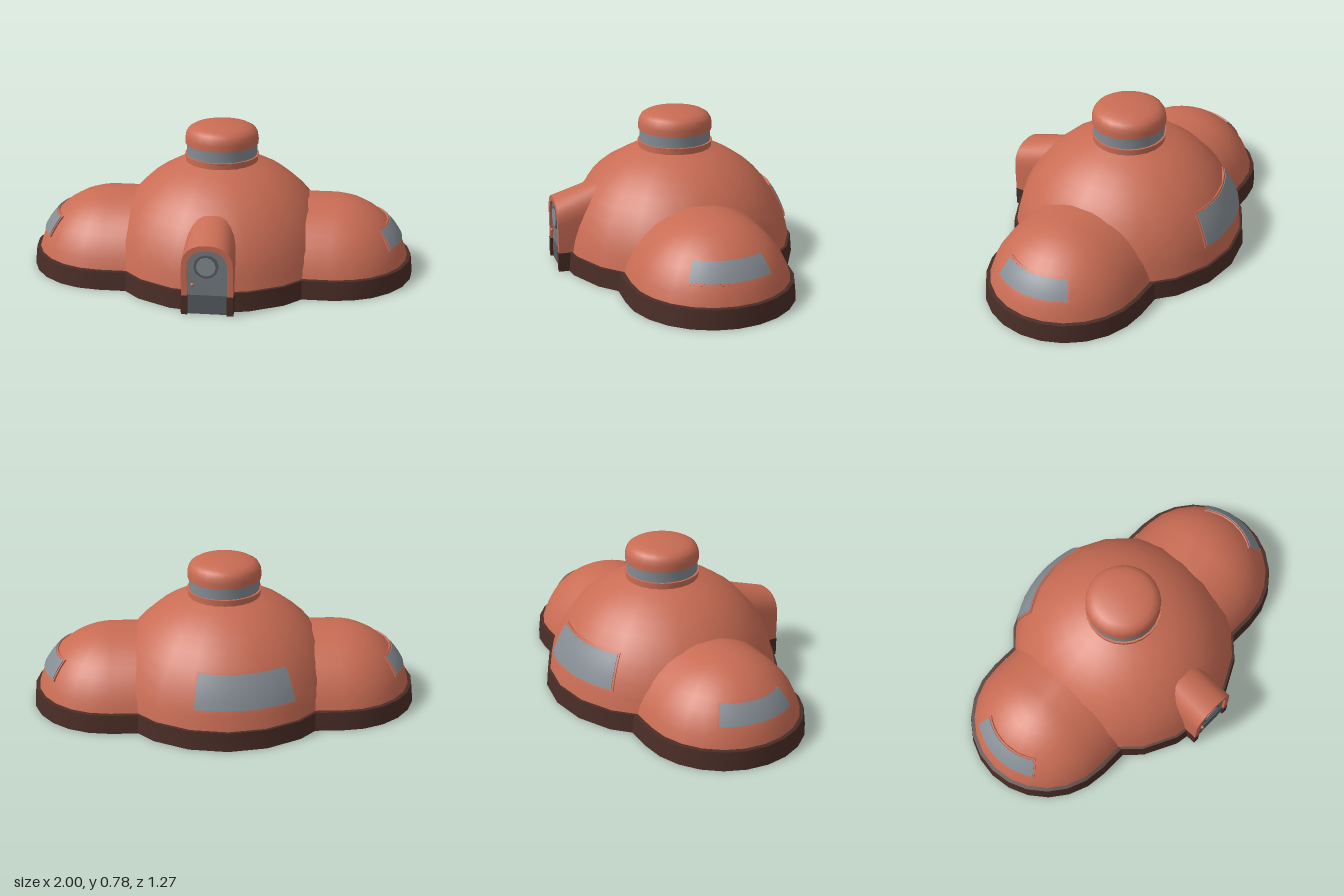
import * as THREE from 'three';
import { toCreasedNormals } from 'three/addons/utils/BufferGeometryUtils.js';

const CENTRE_Z = -0.02;

function mat(name, color, side = THREE.FrontSide) {
  const m = new THREE.MeshStandardMaterial({ color, side });
  m.name = name;
  return m;
}

// Points on a circular profile of radius R centred at height c, between two heights
function arcProfile(R, c, y0, y1, n) {
  const a0 = Math.asin((y0 - c) / R), a1 = Math.asin(Math.min(1, (y1 - c) / R));
  return Array.from({ length: n + 1 }, (_, i) => {
    const a = a0 + (a1 - a0) * i / n;
    return [R * Math.cos(a), c + R * Math.sin(a)];
  });
}

function lathe(points, segments = 20, crease = 0.5) {
  const g = new THREE.LatheGeometry(points.map(p => new THREE.Vector2(...p)), segments);
  return toCreasedNormals(g, crease);
}

// Sweeps a profile round a U-shaped plan: straight tail, half circle, straight tail
function sweepU(profile, tailX, centreX, segments = 12) {
  const nu = segments + 2, nv = profile.length - 1;
  const g = new THREE.PlaneGeometry(1, 1, nu, nv), p = g.attributes.position;
  for (let j = 0; j <= nv; j++) {
    const [r, y] = profile[nv - j];
    for (let i = 0; i <= nu; i++) {
      const k = Math.min(Math.max(i - 1, 0), segments);
      const a = Math.PI / 2 - Math.PI * k / segments;
      const x = i === 0 || i === nu ? tailX : centreX + r * Math.cos(a);
      p.setXYZ(j * (nu + 1) + i, x, y, r * Math.sin(a));
    }
  }
  return toCreasedNormals(g, 0.5);
}

// Thin slab bent onto a sphere of radius R centred at height c, facing +z
function bentSlab(R, c, halfAngle, y0, y1, inner, outer) {
  const g = new THREE.BoxGeometry(2, 1, 1, 10, 4, 1), p = g.attributes.position;
  for (let i = 0; i < p.count; i++) {
    const a = p.getX(i) * halfAngle;
    const y = y0 + (y1 - y0) * (p.getY(i) + 0.5);
    const e = Math.asin((y - c) / R);
    const r = R + (p.getZ(i) > 0 ? outer : inner);
    p.setXYZ(i, r * Math.cos(e) * Math.sin(a), c + r * Math.sin(e), r * Math.cos(e) * Math.cos(a));
  }
  return toCreasedNormals(g, 0.6);
}

// Outline of an arch from its left foot over the top to its right foot
function archPoints(halfWidth, foot, spring, top) {
  const pts = [new THREE.Vector2(-halfWidth, foot)];
  for (let i = 0; i <= 12; i++) {
    const a = Math.PI * (1 - i / 12), c = Math.cos(a);
    pts.push(new THREE.Vector2(
      halfWidth * Math.sign(c) * Math.abs(c) ** 0.85,
      spring + (top - spring) * Math.sin(a) ** 0.85));
  }
  pts.push(new THREE.Vector2(halfWidth, foot));
  return pts;
}

export function createModel() {
  const clay = mat('clay shell', 0xc96c54, THREE.DoubleSide);
  const brown = mat('dark brown base', 0x4a2d26, THREE.DoubleSide);
  const glass = mat('grey glass', 0x858c93);
  const doorGrey = mat('door grey', 0x747b82, THREE.DoubleSide);
  const darkGrey = mat('dark grey trim', 0x565c62, THREE.DoubleSide);

  const model = new THREE.Group();
  model.name = 'domeHouse';
  const house = new THREE.Group();
  house.name = 'domes';
  house.position.z = CENTRE_Z;
  model.add(house);

  function add(parent, name, geometry, material, x = 0, y = 0, z = 0) {
    const mesh = new THREE.Mesh(geometry, material);
    mesh.name = name;
    mesh.position.set(x, y, z);
    parent.add(mesh);
    return mesh;
  }

  function addWindow(parent, name, R, c, halfAngle, y0, y1, x, turn) {
    const w = new THREE.Group();
    w.name = name;
    w.position.x = x;
    w.rotation.y = turn;
    add(w, 'windowFrame', bentSlab(R, c, halfAngle, y0, y1, -0.012, 0.006), clay);
    const m = 0.008;
    add(w, 'windowPane', bentSlab(R, c, halfAngle - m / R * 1.4, y0 + m, y1 - m, 0, 0.009), glass);
    parent.add(w);
  }

  // Main dome and its base ring
  add(house, 'mainDome', lathe(arcProfile(0.6, 0.01, 0.09, 0.585, 9)), clay);
  add(house, 'mainBaseRing', lathe([[0.615, 0], [0.606, 0.095], [0.588, 0.097]]), brown);
  addWindow(house, 'backWindow', 0.6, 0.01, 0.467, 0.19, 0.36, 0, Math.PI + 0.161);

  // Side pods, the right one mirrored by a half turn
  for (const [name, turn] of [['leftPod', 0], ['rightPod', Math.PI]]) {
    const pod = new THREE.Group();
    pod.name = name;
    pod.rotation.y = turn;
    add(pod, 'podShell', sweepU(arcProfile(0.4, 0, 0.09, 0.4, 9), 0.36, 0.58), clay);
    add(pod, 'podBaseRing', sweepU([[0.418, 0], [0.407, 0.095], [0.388, 0.097]], 0.36, 0.58), brown);
    addWindow(pod, 'podWindow', 0.4, 0, 0.62, 0.187, 0.287, 0.58, Math.PI / 2);
    house.add(pod);
  }

  // Cupola on top: neck, glazed band and rounded cap
  add(house, 'cupolaNeck', lathe([[0.186, 0.56], [0.186, 0.605], [0.191, 0.607], [0.191, 0.613], [0.17, 0.613]], 24), clay);
  add(house, 'cupolaGlass', lathe([[0.181, 0.61], [0.181, 0.676]], 24), glass);
  add(house, 'cupolaCap', lathe([
    [0.17, 0.672], [0.188, 0.672], [0.188, 0.7], [0.184, 0.724], [0.172, 0.744],
    [0.148, 0.758], [0.11, 0.768], [0.06, 0.775], [0, 0.777]], 24, 0.7), clay);

  // Porch: an arch whose roof climbs back into the dome
  const porch = new THREE.Group();
  porch.name = 'porch';
  model.add(porch);
  const front = 0.625, back = 0.4, depth = front - back;
  const archShape = new THREE.Shape([
    ...archPoints(0.125, 0.098, 0.24, 0.357),
    ...archPoints(0.096, 0.098, 0.24, 0.33).reverse()]);
  const arch = new THREE.ExtrudeGeometry(archShape, { depth, bevelEnabled: false });
  arch.translate(0, 0, back);
  const p = arch.attributes.position;
  for (let i = 0; i < p.count; i++) {
    const rise = Math.max(0, (p.getY(i) - 0.1) / 0.257);
    p.setY(i, p.getY(i) + rise * (front - p.getZ(i)) * 0.33);
  }
  add(porch, 'porchArch', toCreasedNormals(arch, 0.6), clay);
  for (const s of [-1, 1]) {
    add(porch, 'porchFoot', new THREE.BoxGeometry(0.031, 0.098, depth + 0.004), brown, s * 0.111, 0.049, back + depth / 2);
  }

  // Door with a round window, kick plate and knob
  const doorShape = new THREE.Shape(archPoints(0.097, 0.098, 0.24, 0.331));
  add(porch, 'door', new THREE.ShapeGeometry(doorShape), doorGrey, 0, 0, 0.612);
  add(porch, 'doorKickPlate', new THREE.BoxGeometry(0.19, 0.098, 0.008), darkGrey, 0, 0.049, 0.61);
  const disc = (r, d) => new THREE.CylinderGeometry(r, r, d, 12).rotateX(Math.PI / 2);
  add(porch, 'doorWindowFrame', disc(0.06, 0.012), darkGrey, -0.005, 0.247, 0.613);
  add(porch, 'doorWindow', disc(0.047, 0.008), glass, -0.005, 0.247, 0.618);
  add(porch, 'doorKnob', new THREE.SphereGeometry(0.009, 10, 8), clay, -0.07, 0.155, 0.622);

  return model;
}
